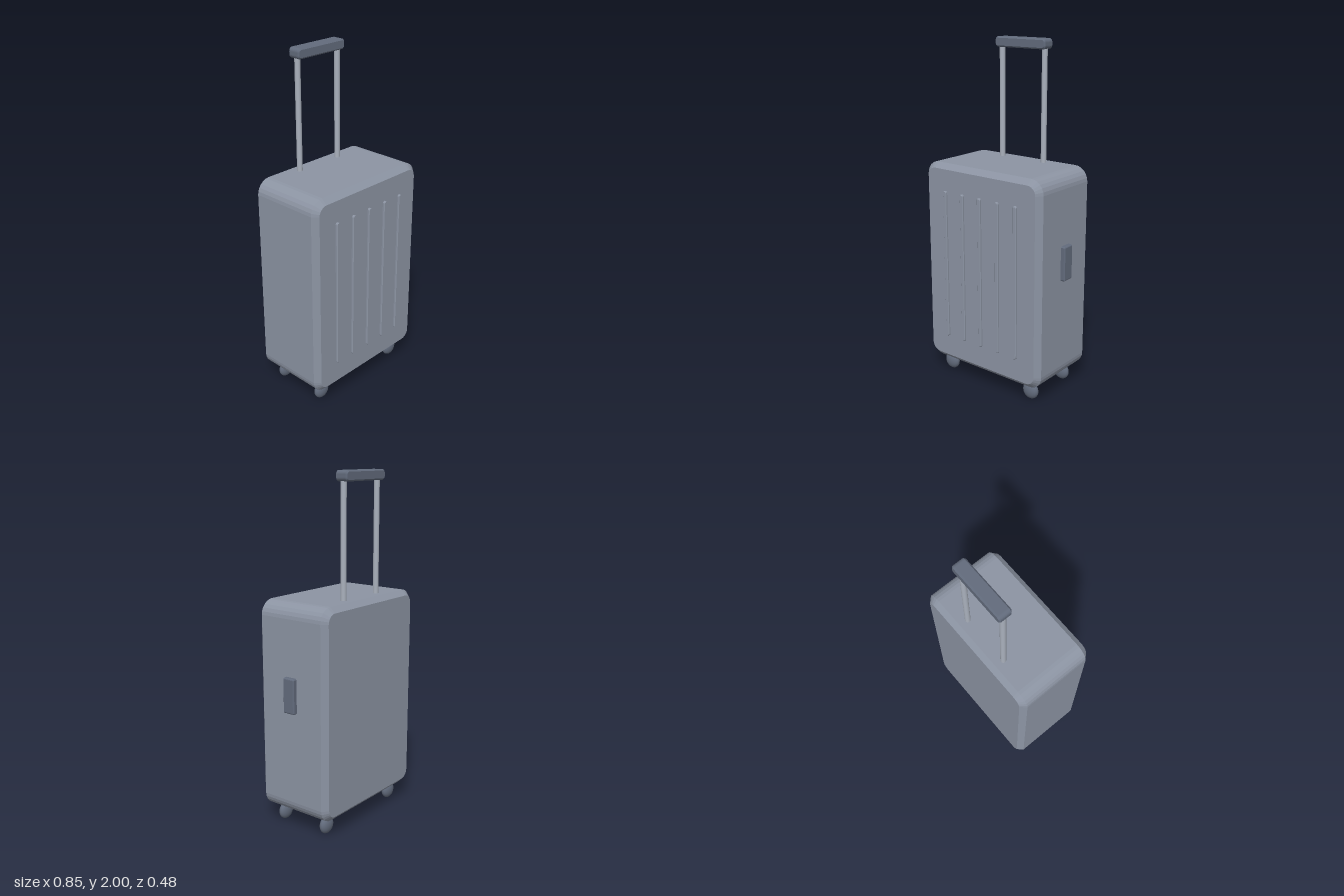
import * as THREE from 'three';

const CX = -0.015, CZ = -0.006; // centre of the case body

const shellMat = new THREE.MeshStandardMaterial({ color: 0x8c94a3 });
const trimMat = new THREE.MeshStandardMaterial({ color: 0x626b7c });
const tubeMat = new THREE.MeshStandardMaterial({ color: 0xa9b0bc });

// Box with rounded corners in the xy outline and a chamfer on its front and back rims
function chamferBox(w, h, d, radius, bevel, segments) {
  const x = w / 2 - bevel, y = h / 2 - bevel, r = radius;
  const s = new THREE.Shape();
  s.moveTo(-x + r, -y);
  s.lineTo(x - r, -y);
  s.absarc(x - r, -y + r, r, -Math.PI / 2, 0);
  s.lineTo(x, y - r);
  s.absarc(x - r, y - r, r, 0, Math.PI / 2);
  s.lineTo(-x + r, y);
  s.absarc(-x + r, y - r, r, Math.PI / 2, Math.PI);
  s.lineTo(-x, -y + r);
  s.absarc(-x + r, -y + r, r, Math.PI, Math.PI * 1.5);
  const depth = d - 2 * bevel;
  return new THREE.ExtrudeGeometry(s, {
    depth, curveSegments: segments, bevelEnabled: true,
    bevelSize: bevel, bevelThickness: bevel, bevelSegments: 1,
  }).translate(0, 0, -depth / 2);
}

export function createModel() {
  const group = new THREE.Group();
  const add = (name, geometry, material, x, y, z) => {
    const mesh = new THREE.Mesh(geometry, material);
    mesh.name = name;
    mesh.position.set(x, y, z);
    group.add(mesh);
    return mesh;
  };

  // Case body
  add('caseBody', chamferBox(0.826, 1.207, 0.472, 0.052, 0.031, 3), shellMat, CX, 0.7085, CZ);

  // Vertical ribs on the front
  const rib = chamferBox(0.024, 0.892, 0.024, 0.007, 0.004, 3);
  for (let i = -2; i <= 2; i++) {
    add('frontRib', rib, shellMat, CX + i * 0.126, 0.711, 0.23);
  }

  // Telescopic handle: two tubes and a grip
  const tube = new THREE.CylinderGeometry(0.016, 0.016, 0.67, 16);
  for (const side of [-1, 1]) {
    add('handleTube', tube, tubeMat, CX + side * 0.149, 1.625, -0.157);
  }
  add('handleGrip', chamferBox(0.35, 0.058, 0.077, 0.013, 0.008, 3), trimMat, CX, 1.971, -0.158);

  // Carry handle on the left side
  add('sideHandle', chamferBox(0.05, 0.2, 0.076, 0.003, 0.006, 2), trimMat, 0.399, 0.812, CZ);

  // Four flattened ball wheels
  const wheel = new THREE.SphereGeometry(0.051, 20, 14).scale(1, 1, 0.55);
  for (const sx of [-1, 1]) {
    for (const sz of [-1, 1]) {
      add('wheel', wheel, trimMat, CX + sx * 0.302, 0.053, CZ + sz * 0.152);
    }
  }
  return group;
}
